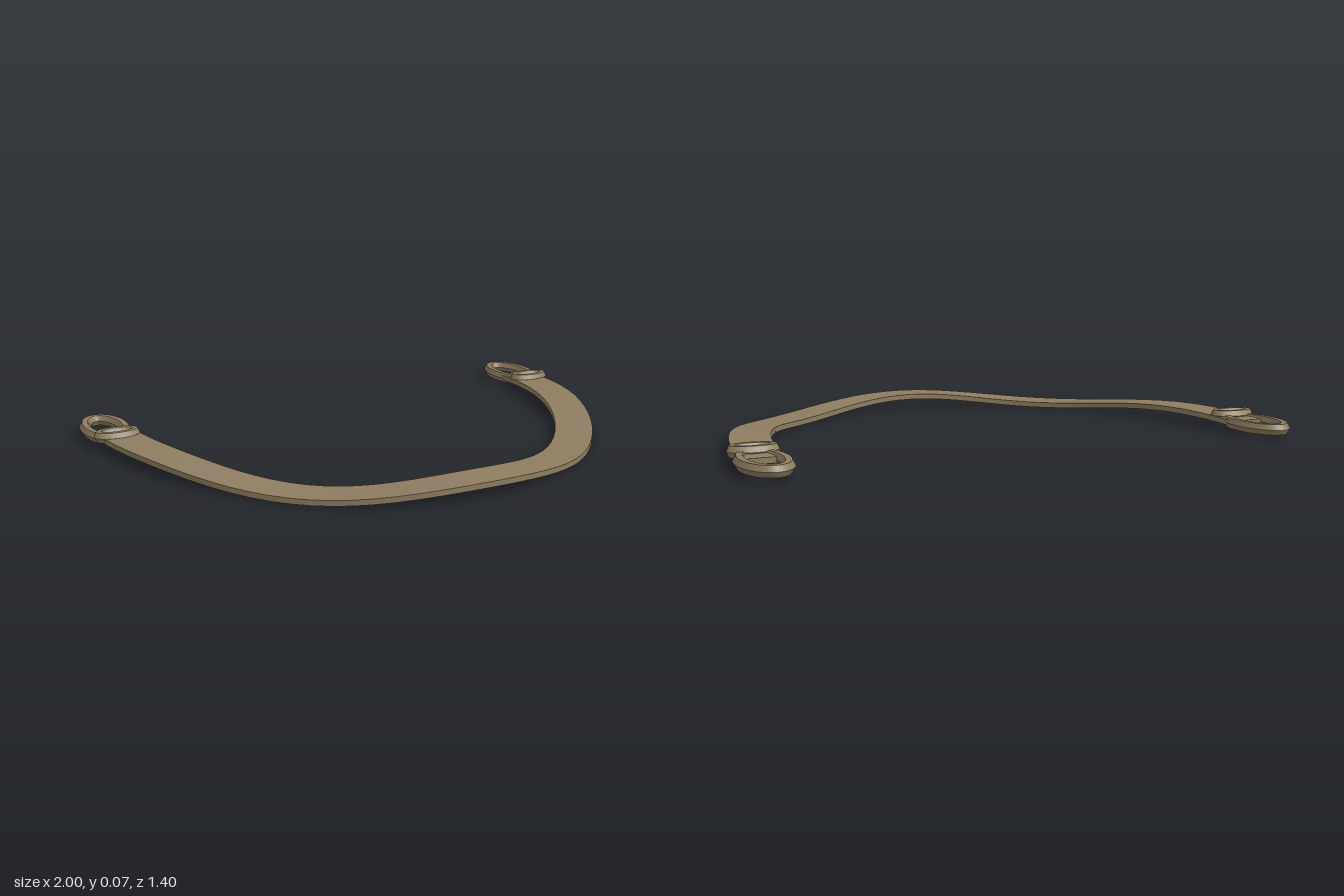
import * as THREE from 'three';

// Sweep a counter-clockwise (out, up) section along part of a horizontal ellipse.
// Each side of the section is its own strip, so long edges stay crisp.
function sweepEllipse({ rx, rz, from, to, steps, section, height = () => 0, closed = false }) {
  const pos = [], index = [];
  const point = (i, [u, v]) => {
    const a = from + (to - from) * i / steps;
    const n = new THREE.Vector2(Math.sin(a) / rx, Math.cos(a) / rz).normalize();
    return [rx * Math.sin(a) + n.x * u, height(a) + v, rz * Math.cos(a) + n.y * u];
  };
  section.forEach((p, j) => {
    const q = section[(j + 1) % section.length];
    const base = pos.length / 3;
    for (let i = 0; i <= steps; i++) {
      pos.push(...point(i, p), ...point(i, q));
      if (i === steps) continue;
      const k = base + i * 2;
      index.push(k, k + 2, k + 1, k + 1, k + 2, k + 3);
    }
  });
  if (!closed) {
    for (const i of [0, steps]) {
      const base = pos.length / 3;
      section.forEach((p) => pos.push(...point(i, p)));
      for (let j = 1; j < section.length - 1; j++) {
        index.push(base, base + (i ? j + 1 : j), base + (i ? j : j + 1));
      }
    }
  }
  const geo = new THREE.BufferGeometry();
  geo.setAttribute('position', new THREE.Float32BufferAttribute(pos, 3));
  geo.setIndex(index);
  geo.computeVertexNormals();
  return geo;
}

// Six-sided bar section with flat top and bottom
function hexSection(halfWidth, halfHeight) {
  return [[1, 0], [0.5, 1], [-0.5, 1], [-1, 0], [-0.5, -1], [0.5, -1]]
    .map(([u, v]) => [u * halfWidth, v * halfHeight]);
}

// Oval ring given by its outer radii
function ovalRing(outerX, outerZ, halfWidth, halfHeight) {
  return sweepEllipse({
    rx: outerX - halfWidth, rz: outerZ - halfWidth, from: 0, to: Math.PI * 2,
    steps: 32, section: hexSection(halfWidth, halfHeight), closed: true,
  });
}

// Gentle wave of the strap: high at the middle, low on the curves, high near the ends
function strapHeight(a) {
  const t = Math.abs(a) / (Math.PI / 2);
  const amp = t > 0.8 ? 0.009 : 0.0175;
  return 0.045 - amp * (1 - Math.cos(2 * Math.PI * t / 0.8));
}

export function createModel() {
  const model = new THREE.Group();
  const tan = new THREE.MeshStandardMaterial({ color: 0x8e7d60 });
  tan.name = 'darkTan';

  const add = (name, geo, x, y, z) => {
    const mesh = new THREE.Mesh(geo, tan);
    mesh.name = name;
    mesh.position.set(x, y, z);
    model.add(mesh);
  };

  // Curved flat strap
  add('strap', sweepEllipse({
    rx: 0.9, rz: 1.14, from: -Math.PI / 2, to: Math.PI / 2, steps: 48,
    section: [[0.07, -0.01], [0.07, 0.01], [-0.07, 0.01], [-0.07, -0.01]],
    height: strapHeight,
  }), 0, 0, -0.51);

  // Long end ring and the small keeper loop over it, on both ends
  const endRing = ovalRing(0.09, 0.159, 0.021, 0.019);
  const keeper = ovalRing(0.086, 0.05, 0.018, 0.019);
  for (const [side, s] of [['left', 1], ['right', -1]]) {
    add(side + 'EndRing', endRing, s * 0.91, 0.036, -0.541);
    add(side + 'KeeperLoop', keeper, s * 0.907, 0.052, -0.4);
  }
  return model;
}
